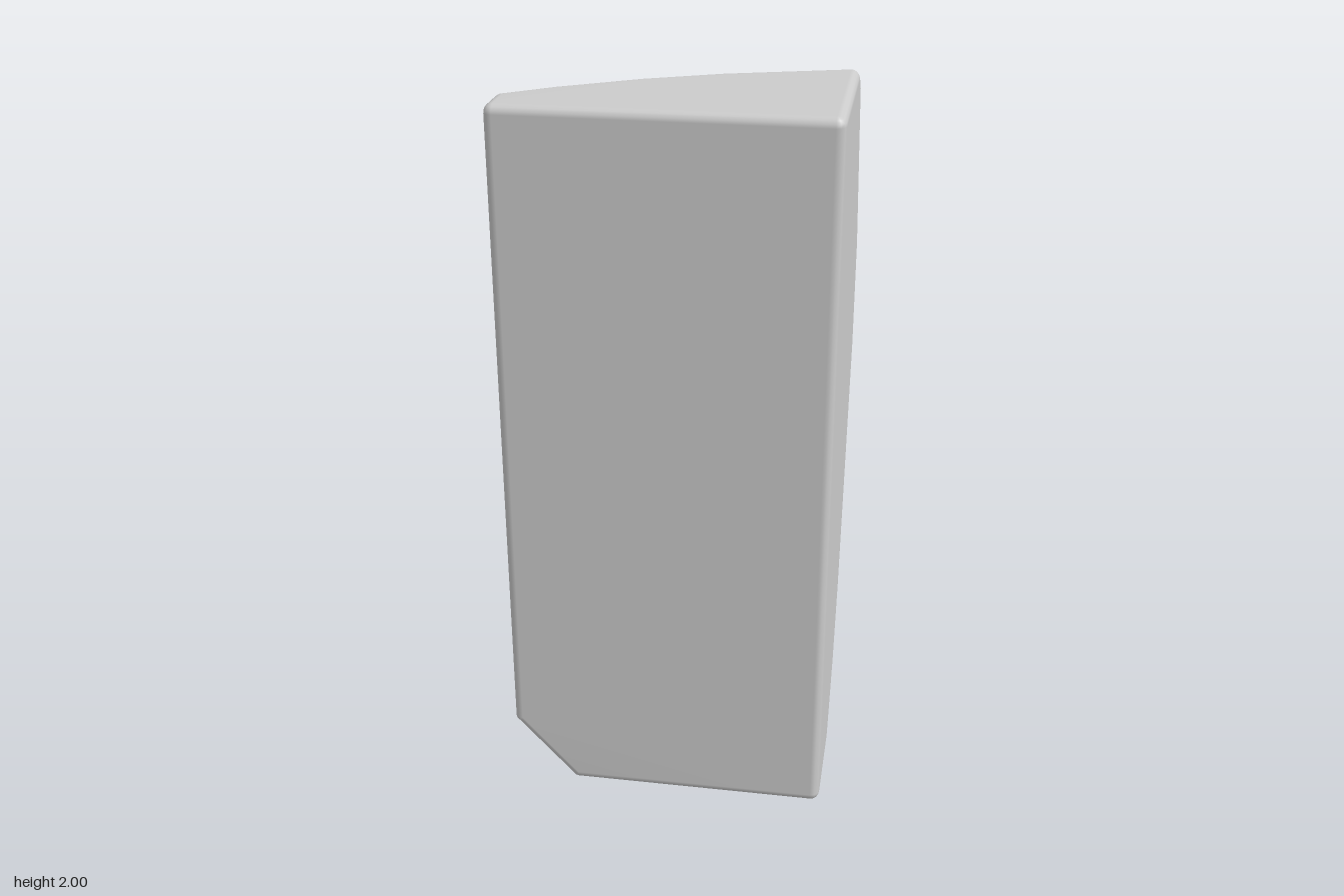
import * as THREE from 'three';
import { ConvexGeometry } from 'three/addons/geometries/ConvexGeometry.js';
import { mergeVertices } from 'three/addons/utils/BufferGeometryUtils.js';

const R = 0.025; // edge rounding radius

// Corners of the faceted block, grouped by region: [x, y, z]
const CORNERS = {
  front: [
    [-0.445, 2, 0.44], [0.445, 2, 0.44], [0.445, 0, 0.44], [-0.26, 0, 0.44], [-0.445, 0.2, 0.44],
  ],
  // curved back rim of the flat top
  topRim: [
    [0.445, 2, -0.1], [0.28, 2, -0.05], [0.1, 2, 0], [-0.1, 2, 0.09], [-0.3, 2, 0.21], [-0.445, 2, 0.3],
  ],
  // back rim of the left side (+x)
  leftRim: [
    [0.445, 1.94, -0.15], [0.445, 1.44, -0.345], [0.445, 1.12, -0.345],
    [0.445, 0.4, -0.13], [0.445, 0.2, -0.03], [0.445, 0, 0.12],
  ],
  // back rim of the right side (-x)
  rightRim: [
    [-0.445, 1.86, -0.16], [-0.445, 1.64, -0.245], [-0.445, 1.35, -0.27],
    [-0.445, 1.06, -0.23], [-0.445, 0.74, -0.11],
  ],
  // tall ridge on the back
  ridge: [[0.17, 1.73, -0.425], [0.17, 1.53, -0.435], [0.17, 1.33, -0.44], [0.17, 1.13, -0.435], [0.17, 0.94, -0.42]],
  // curved underside
  underside: [[0.03, 0, 0.2], [0.24, 0, 0.14], [-0.12, 0, 0.3], [0.05, 0.14, 0.12]],
};

// Convex hull of a small ball placed in every corner gives a block with rounded edges
function roundedHull(corners) {
  const ball = mergeVertices(new THREE.SphereGeometry(R, 12, 8).deleteAttribute('uv').deleteAttribute('normal'));
  const offsets = ball.getAttribute('position');
  const points = [];
  for (const [x, y, z] of corners) {
    const centre = new THREE.Vector3(
      THREE.MathUtils.clamp(x, -0.445 + R, 0.445 - R),
      THREE.MathUtils.clamp(y, R, 2 - R),
      z > 0.4 ? z - R : z + R,
    );
    for (let i = 0; i < offsets.count; i++) {
      points.push(new THREE.Vector3().fromBufferAttribute(offsets, i).add(centre));
    }
  }
  const hull = new ConvexGeometry(points);
  hull.deleteAttribute('normal');
  const smooth = mergeVertices(hull, 1e-5);
  smooth.computeVertexNormals(); // area weighted, so the large faces stay flat
  return smooth;
}

export function createModel() {
  const group = new THREE.Group();
  group.name = 'facetedBlock';
  const body = new THREE.Mesh(
    roundedHull(Object.values(CORNERS).flat()),
    new THREE.MeshStandardMaterial({ color: 0xcccccc }),
  );
  body.name = 'blockBody';
  group.add(body);
  return group;
}
